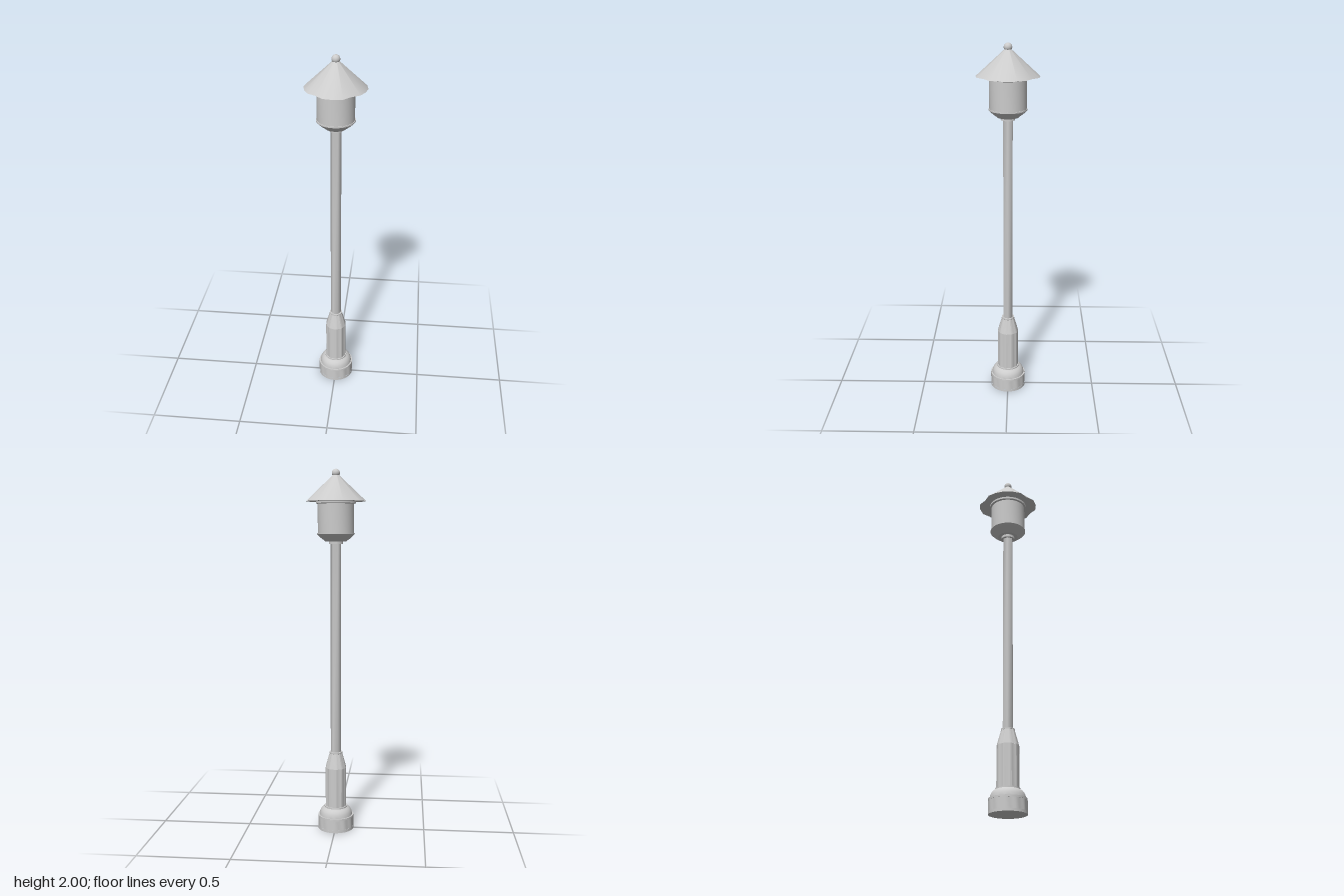
import * as THREE from 'three';
import { toCreasedNormals } from 'three/addons/utils/BufferGeometryUtils.js';

const material = new THREE.MeshStandardMaterial({ color: 0xcccccc });

export function createModel() {
  const model = new THREE.Group();

  const add = (name, geometry, y = 0) => {
    const mesh = new THREE.Mesh(geometry, material);
    mesh.name = name;
    mesh.position.y = y;
    model.add(mesh);
    return mesh;
  };

  // Turned part from [radius, height] pairs, bottom to top
  const turned = (name, profile, sides = 32) => {
    const points = profile.map(([r, y]) => new THREE.Vector2(r, y));
    return add(name, toCreasedNormals(new THREE.LatheGeometry(points, sides), 0.5));
  };

  // Turned part with shallow vertical grooves: two of every four corners sink in
  const fluted = (name, profile, grooves, depth) => {
    const sides = grooves * 4;
    const points = profile.map(([r, y]) => new THREE.Vector2(r, y));
    const geometry = new THREE.LatheGeometry(points, sides);
    const p = geometry.attributes.position;
    for (let i = 0; i < p.count; i++) {
      const column = Math.floor(i / points.length) % sides;
      const r = Math.hypot(p.getX(i), p.getZ(i));
      if (column % 4 < 2 || r < 0.001) continue;
      const k = (r - depth) / r;
      p.setXYZ(i, p.getX(i) * k, p.getY(i), p.getZ(i) * k);
    }
    return add(name, toCreasedNormals(geometry, 0.4));
  };

  // Base drum with grooved sides and plain rims
  turned('baseFoot', [[0, 0], [0.1, 0], [0.1, 0.014]]);
  fluted('baseDrum', [[0.1, 0.014], [0.1, 0.07]], 12, 0.003);
  turned('baseShoulder', [
    [0.097, 0.07], [0.1, 0.07], [0.1, 0.08], [0.092, 0.08], [0.09, 0.095],
    [0.084, 0.109], [0.075, 0.119], [0.064, 0.125], [0.064, 0.132], [0.05, 0.132],
  ]);

  // Grooved lower column and its tapering top
  fluted('lowerColumn', [[0.059, 0.13], [0.059, 0.355]], 10, 0.003);
  fluted('columnTaper', [[0.059, 0.355], [0.055, 0.37], [0.036, 0.438]], 10, 0.002);
  turned('taperCap', [[0.034, 0.436], [0.036, 0.438], [0.036, 0.445], [0, 0.445]]);

  // Six-sided pole, corners pointing to the sides
  const pole = new THREE.CylinderGeometry(0.029, 0.029, 1.18, 6, 1, true);
  pole.rotateY(Math.PI / 6);
  add('pole', toCreasedNormals(pole, 1.2), 1.025);

  // Lantern: collar, bowl, drum and upper rim
  turned('lanternCollar', [[0, 1.602], [0.038, 1.602], [0.038, 1.62], [0, 1.62]]);
  turned('lanternBowl', [
    [0, 1.617], [0.058, 1.617], [0.063, 1.622], [0.082, 1.636],
    [0.095, 1.648], [0.102, 1.655], [0.102, 1.662], [0.097, 1.662],
  ]);
  turned('lanternBody', [[0.098, 1.66], [0.098, 1.816]]);
  turned('lanternRim', [[0.098, 1.816], [0.108, 1.819], [0.108, 1.832], [0, 1.832]]);

  // Roof cone with an uneven rim, mirrored in every quadrant
  const rim = [0.168, 0.167, 0.15, 0.162, 0.161, 0.163];
  const roof = new THREE.CylinderGeometry(0.012, 1, 0.142, 20, 1);
  const p = roof.attributes.position;
  for (let i = 0; i < p.count; i++) {
    const x = p.getX(i), z = p.getZ(i);
    if (Math.hypot(x, z) < 0.5) continue;
    const step = Math.round(Math.atan2(Math.abs(x), Math.abs(z)) / (Math.PI / 10));
    p.setXYZ(i, x * rim[step], p.getY(i), z * rim[step]);
  }
  add('roof', toCreasedNormals(roof, 0.6), 1.901);

  // Ball on the roof tip
  add('finial', new THREE.SphereGeometry(0.022, 20, 14), 1.978);

  return model;
}
